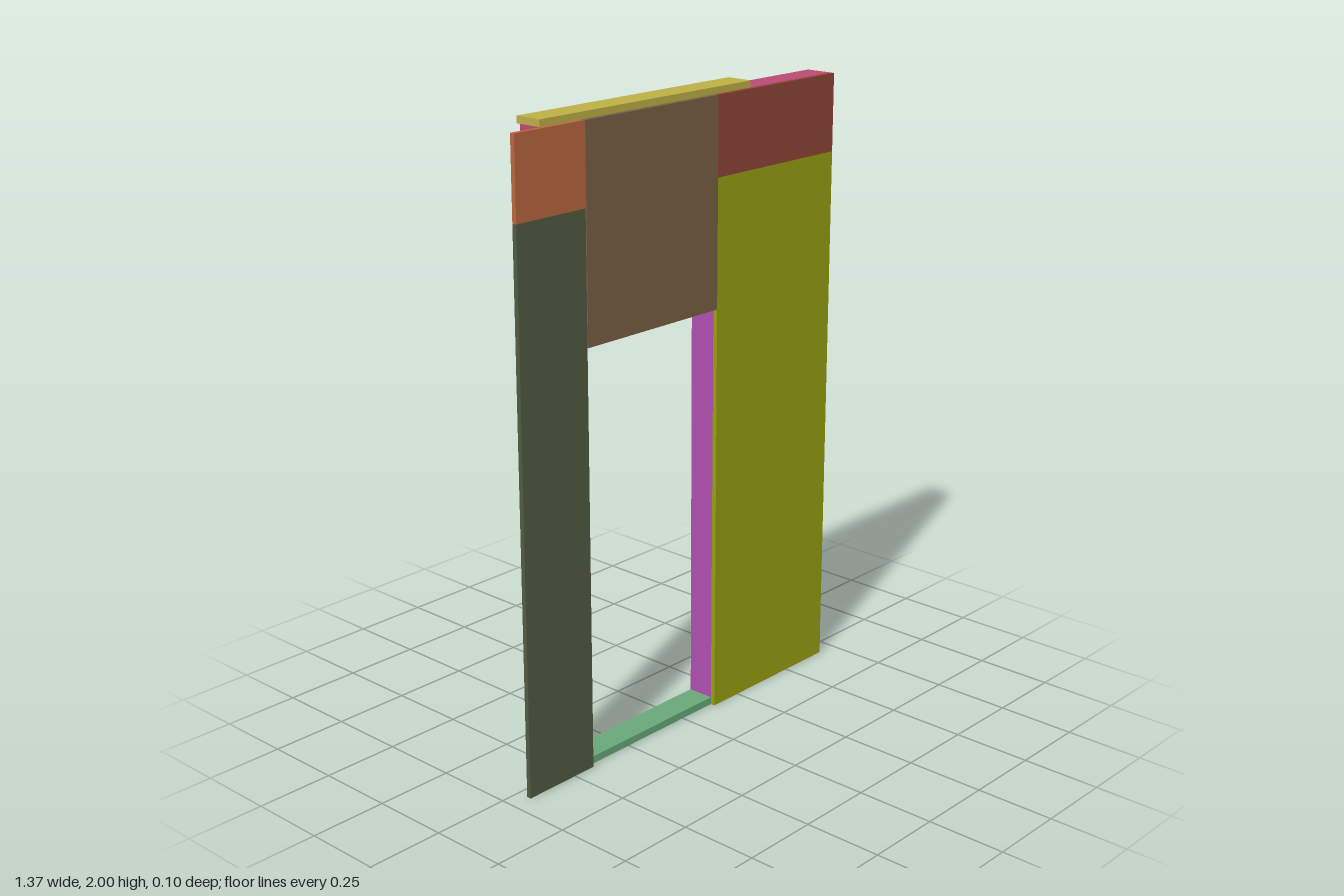
import * as THREE from 'three';

const T = 0.024;                       // lumber thickness
const ZB = -0.0515, ZF = 0.0365;       // back and front of the framing
const ZS = 0.0515;                     // outer face of the sheathing
const FRAME_L = 0.681, FRAME_R = -0.566;
const PLATE_TOP = 1.979, STUD_TOP = PLATE_TOP - T;
const DOOR_L = 0.136, DOOR_R = -0.42, DOOR_TOP = 1.328;
const HEADER_BOTTOM = 1.84;

export function createModel() {
  const wall = new THREE.Group();
  wall.name = 'framedWallPanel';

  // Box given by its limits on each axis
  const board = (parent, name, color, x0, x1, y0, y1, z0 = ZB, z1 = ZF) => {
    const mesh = new THREE.Mesh(
      new THREE.BoxGeometry(x1 - x0, y1 - y0, z1 - z0),
      new THREE.MeshStandardMaterial({ color })
    );
    mesh.position.set((x0 + x1) / 2, (y0 + y1) / 2, (z0 + z1) / 2);
    mesh.name = name;
    parent.add(mesh);
  };
  const section = (name) => {
    const group = new THREE.Group();
    group.name = name;
    wall.add(group);
    return group;
  };

  // Horizontal plates
  const plates = section('plates');
  board(plates, 'bottomPlate', 0x68a878, FRAME_R, FRAME_L, 0, T);
  board(plates, 'topPlate', 0xba4a75, FRAME_R, FRAME_L, STUD_TOP, PLATE_TOP);
  board(plates, 'upperTopPlate', 0xbdb046, -0.577, 0.298, PLATE_TOP, 2);

  // Full-height studs: [right edge x, colour]
  const studs = section('studs');
  [
    [FRAME_L - T, 0x9dbba8], [0.466, 0x85850e], [0.326, 0xc0b9a8],
    [0.275, 0x9a8ba6], [0.226, 0xc4b0ae], [DOOR_L + 2 * T, 0xb0a080],
    [DOOR_R - 3 * T, 0x5f9fa5], [-0.513, 0x0a0a90], [FRAME_R, 0x7a0810],
  ].forEach(([x, color]) => board(studs, 'stud', color, x, x + T, T, STUD_TOP));

  // Jack studs carrying the header on both sides of the doorway
  const jacks = section('jackStuds');
  [
    [DOOR_L, 0xb050b0], [DOOR_L + T, 0xb8a045],
    [DOOR_R - T, 0x6fb8ba], [DOOR_R - 2 * T, 0xa070b0],
  ].forEach(([x, color]) => board(jacks, 'jackStud', color, x, x + T, T, HEADER_BOTTOM));

  // Header of two plies on edge
  const header = section('header');
  for (const z of [ZB, ZF - T])
    board(header, 'headerPly', 0xa89598, DOOR_R - 2 * T, DOOR_L + 2 * T,
      HEADER_BOTTOM, STUD_TOP, z, z + T);

  // Doorway head plate and the short studs above it
  const infill = section('doorwayInfill');
  board(infill, 'doorHeadPlate', 0x8a95a0, DOOR_R, DOOR_L, DOOR_TOP, DOOR_TOP + T);
  [
    [DOOR_L - T, 0xb0a010], [-0.05, 0x8a6595], [-0.302, 0xc0800a], [DOOR_R, 0x9a9a9a],
  ].forEach(([x, color]) =>
    board(infill, 'crippleStud', color, x, x + T, DOOR_TOP + T, HEADER_BOTTOM));

  // Front sheathing panels: [name, colour, x0, x1, y0, y1]
  const sheathing = section('sheathing');
  [
    ['rightLowerPanel', 0x525b42, -0.685, -0.421, 0, 1.733],
    ['rightUpperPanel', 0xba6640, -0.685, -0.421, 1.733, PLATE_TOP],
    ['doorwayPanel', 0x7b6044, -0.418, 0.136, DOOR_TOP, PLATE_TOP],
    ['leftLowerPanel', 0x98a010, 0.136, 0.681, 0, 1.733],
    ['leftUpperPanel', 0x8e4436, 0.136, 0.681, 1.733, PLATE_TOP],
  ].forEach((p) => board(sheathing, ...p, ZF, ZS));

  return wall;
}
